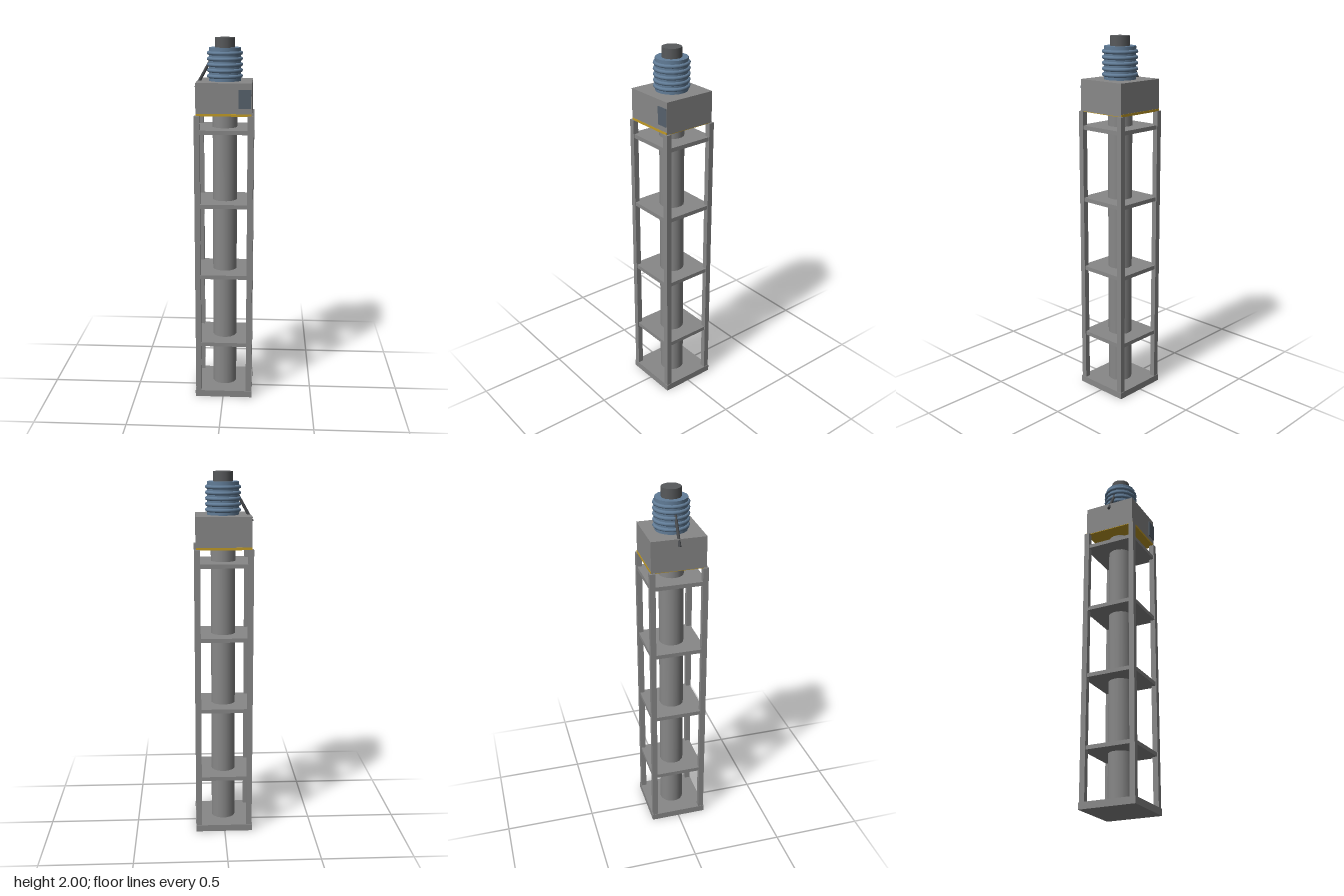
import * as THREE from 'three';

const material = (name, color) => {
  const m = new THREE.MeshStandardMaterial({ color });
  m.name = name;
  return m;
};

export function createModel() {
  const steel = material('steel grey', 0x888888);
  const blue = material('bellows blue', 0x627d98);
  const dark = material('dark grey', 0x585a5c);
  const arm = material('cable grey', 0x4a4c4f);
  const slate = material('panel slate', 0x56616c);
  const yellow = material('warning yellow', 0xc09a26);

  const model = new THREE.Group();
  const body = new THREE.Group();
  body.name = 'body';
  body.position.x = 0.003;
  model.add(body);

  const add = (name, geometry, mat, x = 0, y = 0, z = 0) => {
    const mesh = new THREE.Mesh(geometry, mat);
    mesh.name = name;
    mesh.position.set(x, y, z);
    body.add(mesh);
    return mesh;
  };
  // Boxes and upright cylinders are given by their lower and upper heights
  const box = (name, mat, w, d, y0, y1, x = 0, z = 0) =>
    add(name, new THREE.BoxGeometry(w, y1 - y0, d), mat, x, (y0 + y1) / 2, z);
  const cylinder = (name, mat, r, y0, y1, sides) => {
    const mesh = add(name, new THREE.CylinderGeometry(r, r, y1 - y0, sides), mat, 0, (y0 + y1) / 2);
    mesh.rotation.y = Math.PI / sides;
    return mesh;
  };

  // Open frame: base, corner posts and shelves
  box('base', steel, 0.318, 0.318, 0, 0.037);
  for (const sx of [-1, 1]) {
    for (const sz of [-1, 1]) box('cornerPost', steel, 0.03, 0.03, 0.037, 1.605, sx * 0.141, sz * 0.141);
  }
  for (let i = 0; i < 4; i++) {
    const y = 0.318 + i * 0.4;
    box('shelf', steel, 0.302, 0.302, y - 0.011, y + 0.011);
  }
  cylinder('column', steel, 0.067, 0.037, 1.604, 16);

  // Head block with its warning strip and front panel
  box('head', steel, 0.294, 0.294, 1.606, 1.775);
  box('warningStrip', yellow, 0.292, 0.297, 1.603, 1.616);
  box('frontPanel', slate, 0.065, 0.006, 1.645, 1.741, 0.111, 0.149);

  // Ribbed bellows and tip
  cylinder('bellowsCore', blue, 0.086, 1.775, 1.948, 16);
  for (let i = 0; i < 5; i++) {
    const ring = add('bellowsRing', new THREE.TorusGeometry(0.087, 0.01, 8, 16), blue, 0, 1.8 + i * 0.03);
    ring.rotation.set(Math.PI / 2, 0, Math.PI / 16);
  }
  cylinder('tip', dark, 0.053, 1.948, 2, 12);

  // Slanted cable running from the bellows past the head's edge
  const start = new THREE.Vector3(-0.077, 1.88, 0);
  const end = new THREE.Vector3(-0.157, 1.738, 0);
  const path = new THREE.Vector3().subVectors(start, end);
  const cable = add('cable', new THREE.CylinderGeometry(0.008, 0.008, path.length(), 8), arm);
  cable.position.addVectors(start, end).multiplyScalar(0.5);
  cable.quaternion.setFromUnitVectors(new THREE.Vector3(0, 1, 0), path.normalize());

  return model;
}
